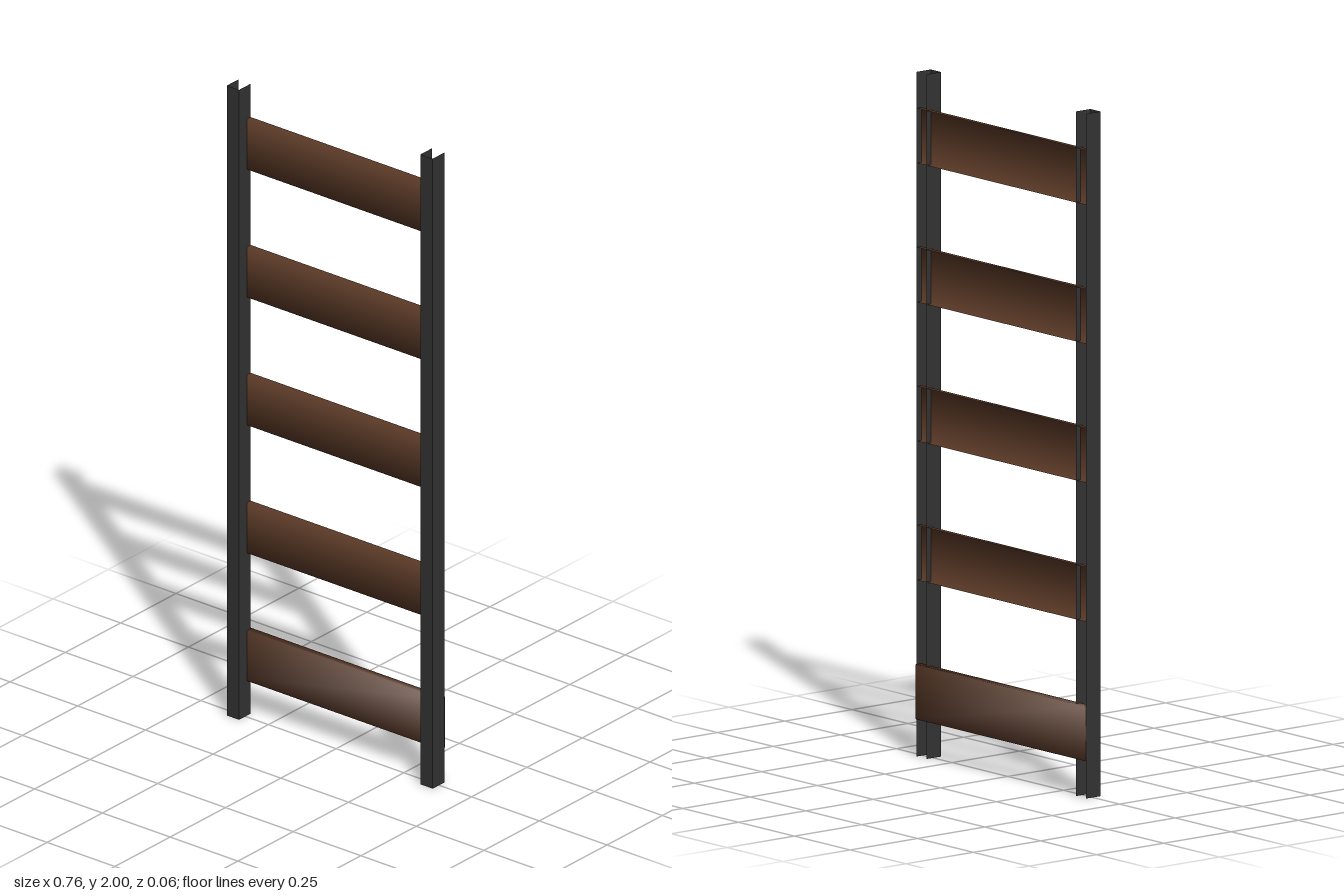
import * as THREE from 'three';

const steel = new THREE.MeshStandardMaterial({ color: 0x333333, side: THREE.DoubleSide });
steel.name = 'dark steel';
const wood = new THREE.MeshStandardMaterial({ color: 0x5c3a27, side: THREE.DoubleSide });
wood.name = 'brown wood';

// Thin open channel: a three-sided profile [x, z] swept along y
function channel(profile, length, smooth) {
  const walls = profile.slice(1).map(([x, z], i) =>
    new THREE.Vector3(profile[i][1] - z, 0, x - profile[i][0]).normalize());
  const pos = [], nor = [], index = [];
  walls.forEach((n, i) => {
    [i, i + 1].forEach((k) => {
      const m = n.clone();
      if (smooth) {
        const other = walls[k === i ? i - 1 : i + 1];
        if (other) m.add(other).normalize();
      }
      [-length / 2, length / 2].forEach((y) => {
        pos.push(profile[k][0], y, profile[k][1]);
        nor.push(m.x, m.y, m.z);
      });
    });
    const b = i * 4;
    index.push(b, b + 2, b + 3, b, b + 3, b + 1);
  });
  const g = new THREE.BufferGeometry();
  g.setAttribute('position', new THREE.Float32BufferAttribute(pos, 3));
  g.setAttribute('normal', new THREE.Float32BufferAttribute(nor, 3));
  g.setIndex(index);
  return g;
}

// Channel profile, open towards the back
const open = (half, front, back) => [[-half, back], [-half, front], [half, front], [half, back]];

export function createModel() {
  const group = new THREE.Group();
  const add = (name, geometry, material, x, y, z) => {
    const mesh = new THREE.Mesh(geometry, material);
    mesh.name = name;
    mesh.position.set(x, y, z);
    group.add(mesh);
  };

  // Two upright rails
  const rail = channel(open(0.0225, 0.0287, -0.024), 2, false);
  add('leftRail', rail, steel, 0.3575, 1, 0);
  add('rightRail', rail, steel, -0.3575, 1, 0);

  // Upper rungs: open-backed channels with soft edges
  const rung = channel(open(0.08, -0.0075, -0.024), 0.758, true).rotateZ(Math.PI / 2);
  for (let i = 1; i < 5; i++) add('rung' + (i + 1), rung, wood, 0, 0.19 + i * 0.406, 0);

  // Bottom rung: closed board with softened corners
  const board = new THREE.BoxGeometry(0.758, 0.16, 0.0212);
  const p = board.attributes.position;
  for (let i = 0; i < p.count; i++) {
    const n = new THREE.Vector3(Math.sign(p.getX(i)), Math.sign(p.getY(i)), Math.sign(p.getZ(i))).normalize();
    board.attributes.normal.setXYZ(i, n.x, n.y, n.z);
  }
  add('bottomRung', board, wood, 0, 0.19, -0.0181);

  return group;
}
